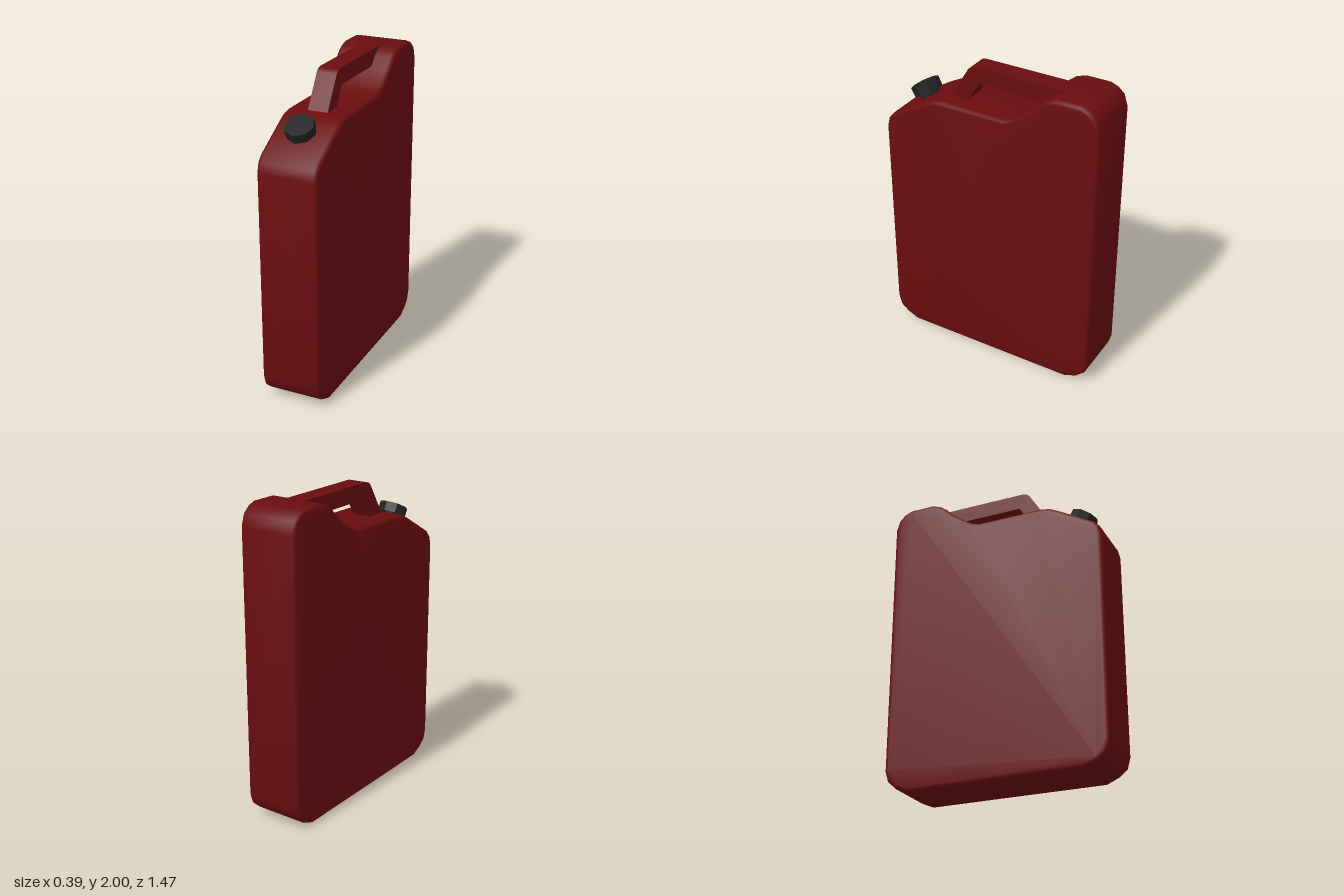
import * as THREE from 'three';
import { toCreasedNormals } from 'three/addons/utils/BufferGeometryUtils.js';

const red = new THREE.MeshStandardMaterial({ color: 0x6a0d0e });
red.name = 'dark red';
const black = new THREE.MeshStandardMaterial({ color: 0x222222 });
black.name = 'black';

// Side outline given as [z, y], extruded across x and centred on x = 0
function slab(points, width, bevel) {
  const shape = new THREE.Shape(points.map(([z, y]) => new THREE.Vector2(z, y)));
  const geo = new THREE.ExtrudeGeometry(shape, {
    depth: width - 2 * bevel,
    bevelEnabled: bevel > 0,
    bevelThickness: bevel,
    bevelSize: bevel,
    bevelOffset: -bevel,
    bevelSegments: 3,
  });
  geo.translate(0, 0, -(width - 2 * bevel) / 2);
  geo.rotateY(-Math.PI / 2);
  return toCreasedNormals(geo, 0.75);
}

// Faceted eight-sided cylinder
function facetedCylinder(radius, height) {
  const geo = new THREE.CylinderGeometry(radius, radius, height, 8).toNonIndexed();
  geo.computeVertexNormals();
  return geo;
}

function add(parent, name, geo, material) {
  const mesh = new THREE.Mesh(geo, material);
  mesh.name = name;
  parent.add(mesh);
  return mesh;
}

export function createModel() {
  const model = new THREE.Group();
  model.name = 'fuelCan';

  // Tank with rounded corners, sloped shoulder and raised back
  add(model, 'tank', slab([
    [0.58, 0], [-0.58, 0], [-0.66, 0.035], [-0.715, 0.085], [-0.735, 0.15],
    [-0.735, 1.87], [-0.71, 1.945], [-0.67, 1.98], [-0.62, 2],
    [-0.46, 2], [-0.4, 1.98], [-0.36, 1.95], [-0.3, 1.89], [-0.22, 1.83],
    [-0.16, 1.793], [-0.11, 1.775],
    [0.33, 1.775], [0.39, 1.765], [0.45, 1.735],
    [0.685, 1.6], [0.72, 1.56], [0.735, 1.5],
    [0.735, 0.15], [0.715, 0.08], [0.66, 0.035],
  ], 0.39, 0.025), red);

  // Handle from the shoulder to the raised back
  add(model, 'handle', slab([
    [0.337, 1.755], [0.2, 1.977], [0.182, 1.993], [0.155, 2], [-0.46, 2],
    [-0.46, 1.895], [0.13, 1.895], [0.212, 1.755],
  ], 0.13, 0), red);

  // Spout, square to the sloped shoulder
  const spout = new THREE.Group();
  spout.name = 'spout';
  spout.position.set(0, 1.74, 0.552);
  spout.rotation.x = 0.5;
  add(spout, 'cap', facetedCylinder(0.093, 0.062), black);
  add(spout, 'neck', facetedCylinder(0.062, 0.09), black).position.y = -0.06;
  model.add(spout);

  return model;
}
